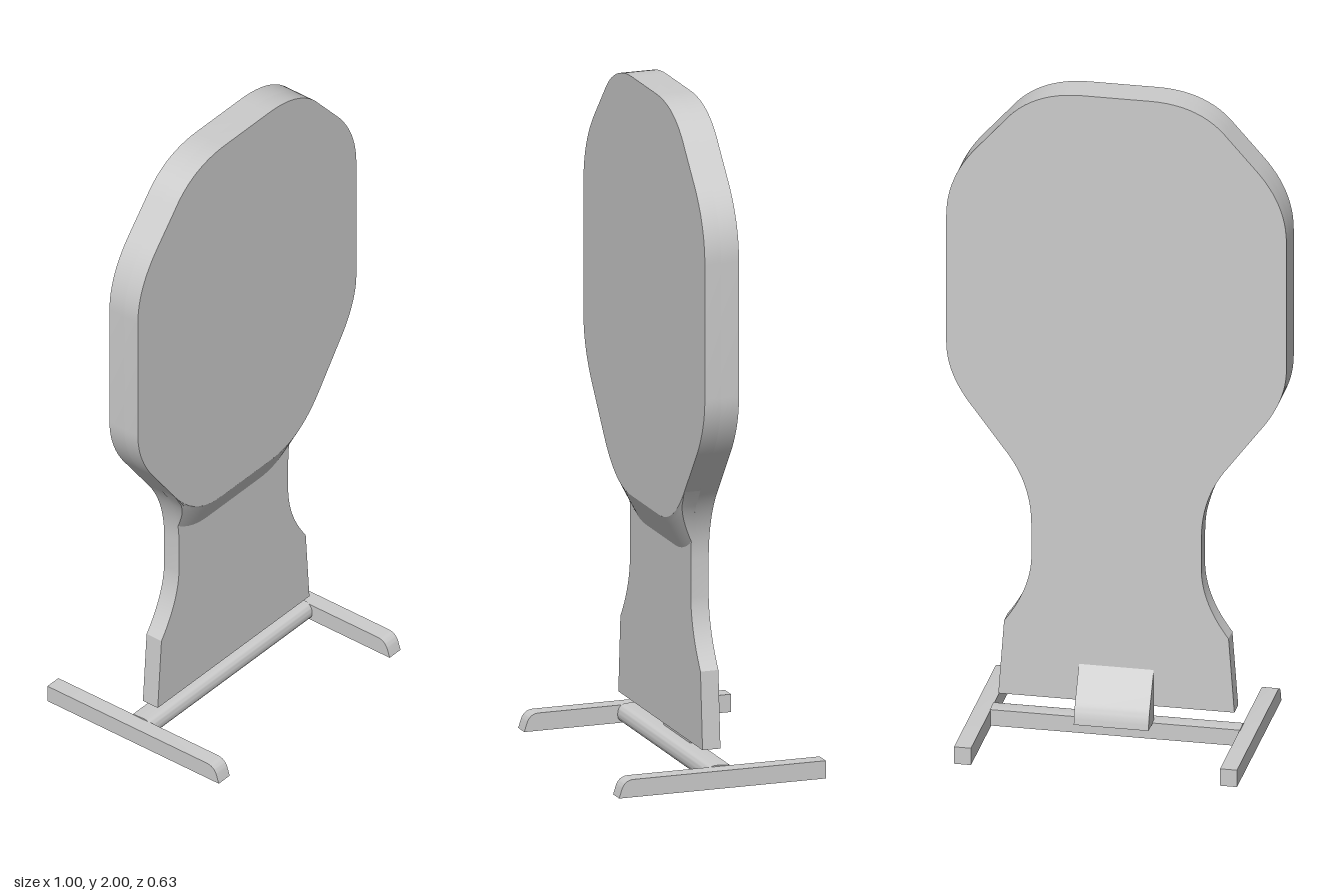
import * as THREE from 'three';
import { toCreasedNormals } from 'three/addons/utils/BufferGeometryUtils.js';

const V = (x, y) => new THREE.Vector2(x, y);
const bez = (a, b, c) => new THREE.QuadraticBezierCurve(V(...a), V(...b), V(...c));

const BACK = -0.02, MID = 0.035, FRONT = 0.085;

// Right half of the outlines, top to bottom
const headTop = [
  bez([0.1, 2], [0.25, 2], [0.33, 1.9]),
  bez([0.41, 1.81], [0.5, 1.71], [0.5, 1.59]),
  bez([0.5, 1.19], [0.5, 1.09], [0.42, 0.99]),
];
const headBottom = bez([0.33, 0.87], [0.24, 0.75], [0.12, 0.75]);
const neckCurve = bez([0.33, 0.87], [0.25, 0.77], [0.25, 0.64]);
const waistCurve = bez([0.25, 0.53], [0.255, 0.43], [0.33, 0.33]);

// Mirrored closed shape from half-outline curves and extra points
function mirroredShape(curves, extra = []) {
  const half = curves.flatMap((c) => c.getPoints(12)).concat(extra);
  const other = half.map((p) => V(-p.x, p.y)).reverse();
  return new THREE.Shape([...half, ...other]);
}

function slab(shape, z0, z1) {
  const g = new THREE.ExtrudeGeometry(shape, { depth: z1 - z0, bevelEnabled: false });
  return toCreasedNormals(g.translate(0, 0, z0), 0.5);
}

// Profile drawn as (z, y), extruded along x
function extrudeX(shape, width, x = 0) {
  const g = new THREE.ExtrudeGeometry(shape, { depth: width, bevelEnabled: false, curveSegments: 8 });
  g.translate(0, 0, -width / 2).rotateY(-Math.PI / 2).translate(x, 0, 0);
  return toCreasedNormals(g, 0.6);
}

// Parameter in 0..1 where the falling function f crosses zero
function solve(f) {
  let a = 0, b = 1;
  for (let i = 0; i < 30; i++) {
    const m = (a + b) / 2;
    if (f(m) > 0) a = m; else b = m;
  }
  return (a + b) / 2;
}

function headEdgeY(x) {
  const ax = Math.abs(x);
  if (ax <= 0.12) return 0.75;
  return headBottom.getPoint(solve((t) => headBottom.getPoint(t).x - ax)).y;
}

// Sloped transition from the thick head to the thin neck, trimmed by the neck outline
function rampGeometry() {
  const rows = 8, cols = 32, drop = 0.095, pos = [], idx = [];
  for (let r = 0; r <= rows; r++) {
    const w = r / rows;
    const edge = neckCurve.getPoint(solve((t) => {
      const p = neckCurve.getPoint(t);
      return p.y - headEdgeY(p.x) + drop * w + (r === 0 ? -1 : 0);
    }));
    const z = FRONT + (MID - FRONT) * w;
    for (let c = 0; c <= cols; c++) {
      const x = edge.x * (2 * c / cols - 1);
      pos.push(x, headEdgeY(x) - drop * w, z);
    }
    // side wall feet on the neck plate
    pos.push(-edge.x, edge.y, MID, edge.x, edge.y, MID);
  }
  const n = cols + 3;
  const quad = (a, b, c, d) => idx.push(a, b, c, a, c, d);
  for (let r = 0; r < rows; r++) {
    const o = r * n, q = o + n;
    for (let c = 0; c < cols; c++) quad(o + c, q + c, q + c + 1, o + c + 1);
    quad(o + cols + 1, q + cols + 1, q, o);
    quad(o + cols, q + cols, q + cols + 2, o + cols + 2);
  }
  const g = new THREE.BufferGeometry();
  g.setAttribute('position', new THREE.Float32BufferAttribute(pos, 3));
  g.setIndex(idx);
  return toCreasedNormals(g, 0.5);
}

export function createModel() {
  const group = new THREE.Group();
  const mat = new THREE.MeshStandardMaterial({ color: 0xcccccc, side: THREE.DoubleSide });
  const add = (name, geometry) => {
    const mesh = new THREE.Mesh(geometry, mat);
    mesh.name = name;
    group.add(mesh);
  };

  // Target board: full-height thin plate, thicker head, sloped blend
  add('backPlate', slab(mirroredShape([...headTop, neckCurve, waistCurve], [V(0.347, 0.1)]), BACK, MID));
  add('headPanel', slab(mirroredShape([...headTop, headBottom]), MID, FRONT));
  add('neckRamp', rampGeometry());

  // Feet with rounded front tips
  const foot = new THREE.Shape();
  foot.moveTo(-0.318, 0);
  foot.lineTo(0.317, 0);
  foot.lineTo(0.308, 0.028);
  foot.quadraticCurveTo(0.298, 0.053, 0.272, 0.053);
  foot.lineTo(-0.318, 0.053);
  for (const s of [1, -1]) add(s > 0 ? 'leftFoot' : 'rightFoot', extrudeX(foot, 0.05, s * 0.391));

  // Crossbar with a rounded front
  const bar = new THREE.Shape();
  bar.moveTo(-0.04, 0.005);
  bar.lineTo(0.018, 0.005);
  bar.quadraticCurveTo(0.03, 0.008, 0.03, 0.025);
  bar.quadraticCurveTo(0.03, 0.057, 0, 0.057);
  bar.lineTo(-0.04, 0.055);
  add('crossbar', extrudeX(bar, 0.735));

  // Bracket joining the board to the crossbar
  const bracket = new THREE.Shape();
  bracket.moveTo(-0.015, 0.053);
  bracket.lineTo(-0.015, 0.215);
  bracket.lineTo(-0.02, 0.213);
  bracket.lineTo(-0.075, 0.115);
  bracket.quadraticCurveTo(-0.092, 0.085, -0.094, 0.053);
  add('bracket', extrudeX(bracket, 0.22));

  return group;
}
